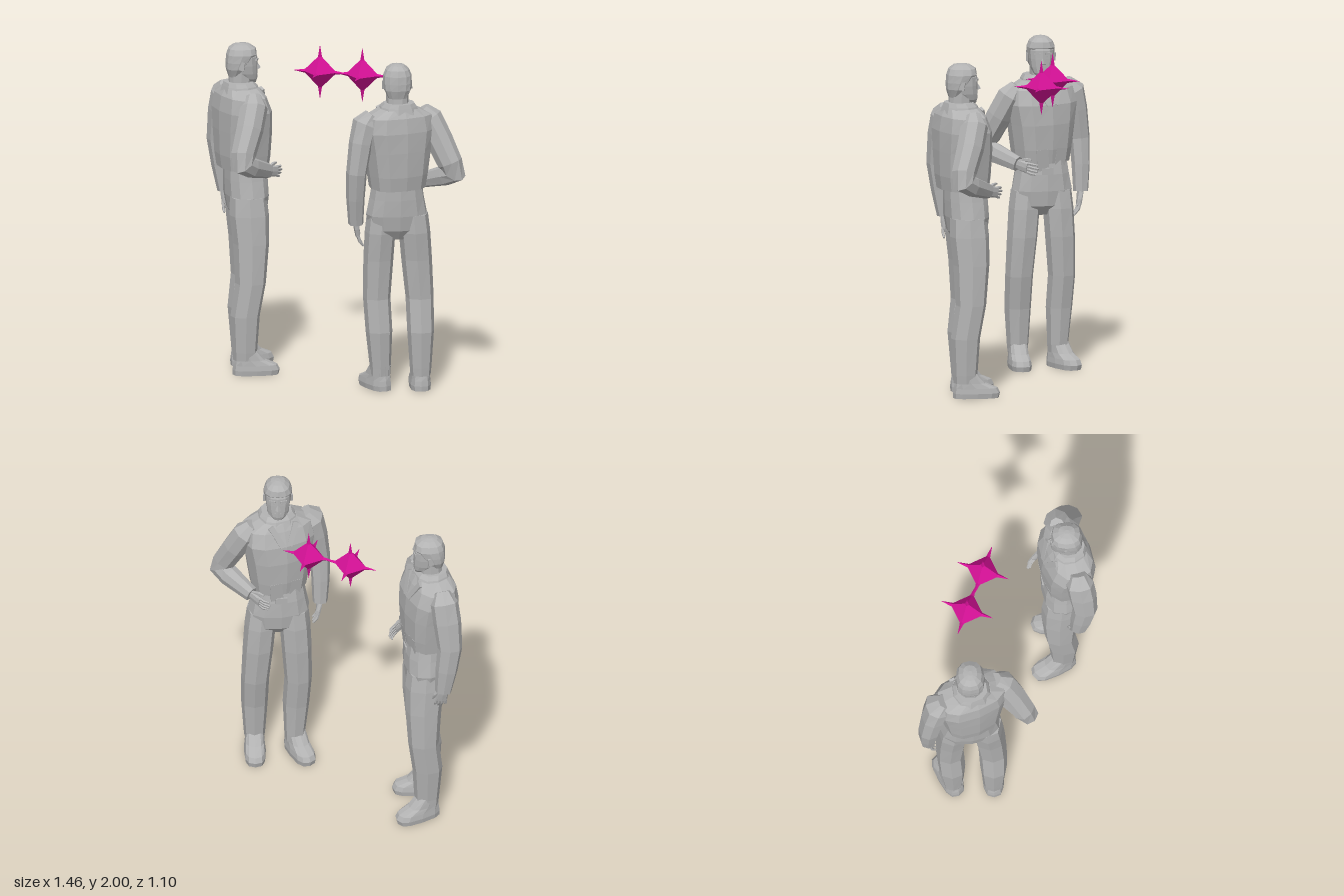
import * as THREE from 'three';

const grey = new THREE.MeshStandardMaterial({ color: 0xb2b2b2 });
grey.name = 'statue grey';
const pink = new THREE.MeshStandardMaterial({ color: 0xd41196 });
pink.name = 'marker magenta';

const V = (x, y, z) => new THREE.Vector3(x, y, z);

function add(parent, name, geometry, material = grey) {
  const flat = geometry.index ? geometry.toNonIndexed() : geometry;
  flat.computeVertexNormals();
  const mesh = new THREE.Mesh(flat, material);
  mesh.name = name;
  parent.add(mesh);
  return mesh;
}

// Skin a stack of equal-sized rings and close both ends
function skin(rings) {
  const out = [], n = rings[0].length;
  const tri = (...ps) => ps.forEach((p) => out.push(p.x, p.y, p.z));
  const mid = (r) => r.reduce((s, p) => s.add(p), V(0, 0, 0)).divideScalar(n);
  const last = rings[rings.length - 1], c0 = mid(rings[0]), c1 = mid(last);
  for (let j = 0; j < n; j++) {
    const k = (j + 1) % n;
    for (let i = 0; i < rings.length - 1; i++) {
      const a = rings[i], b = rings[i + 1];
      tri(a[j], b[j], a[k]);
      tri(a[k], b[j], b[k]);
    }
    tri(c0, rings[0][j], rings[0][k]);
    tri(c1, last[k], last[j]);
  }
  const g = new THREE.BufferGeometry();
  g.setAttribute('position', new THREE.Float32BufferAttribute(out, 3));
  return g;
}

// One rounded-square ring spanned by u and v
function ring(c, u, v, sides, e = 0.8) {
  return Array.from({ length: sides }, (_, j) => {
    const a = (j / sides) * Math.PI * 2;
    const f = (t) => Math.sign(t) * Math.pow(Math.abs(t) < 1e-6 ? 0 : Math.abs(t), e);
    return c.clone().addScaledVector(u, f(Math.cos(a))).addScaledVector(v, f(Math.sin(a)));
  });
}

// Horizontal sections, bottom to top: [y, cx, cz, rx, rz]
const stack = (rows, sides = 10, e = 0.8) =>
  skin(rows.map(([y, cx, cz, rx, rz]) => ring(V(cx, y, cz), V(rx, 0, 0), V(0, 0, rz), sides, e)));

// Sections along a bent path: [point, ru, rv]; ref sets the direction of ru
function limb(rows, ref, sides = 8) {
  return skin(rows.map(([p, ru, rv], i) => {
    const d = V(0, 0, 0);
    if (i > 0) d.add(p.clone().sub(rows[i - 1][0]).normalize());
    if (i < rows.length - 1) d.add(rows[i + 1][0].clone().sub(p).normalize());
    d.normalize();
    const u = ref.clone().addScaledVector(d, -ref.dot(d)).normalize();
    const v = u.clone().cross(d);
    return ring(p, u.multiplyScalar(ru), v.multiplyScalar(rv), sides);
  }));
}

// Palm, four fingers and a thumb; s points to the thumb side
function hand(parent, name, wrist, dir, s, curl) {
  const g = new THREE.Group();
  g.name = name;
  const at = (l, w, c = 0) => wrist.clone().addScaledVector(dir, l).addScaledVector(s, w).addScaledVector(curl, c);
  add(g, 'palm', limb([[at(-0.03, 0), 0.026, 0.02], [at(0.03, 0), 0.034, 0.018], [at(0.08, 0), 0.034, 0.014]], s, 8));
  for (let i = 0; i < 4; i++) {
    const w = (i - 1.5) * 0.017, l = 0.15 - Math.abs(i - 1.7) * 0.011;
    add(g, 'finger', limb([[at(0.07, w), 0.009, 0.01], [at(0.11, w * 1.15, 0.006), 0.009, 0.009],
      [at(l, w * 1.2, 0.024), 0.005, 0.005]], s, 5));
  }
  add(g, 'thumb', limb([[at(0.01, 0.02), 0.012, 0.012], [at(0.05, 0.042, 0.01), 0.011, 0.011],
    [at(0.085, 0.05, 0.018), 0.006, 0.006]], curl, 5));
  parent.add(g);
}

function box(parent, name, size, pos, rot = [0, 0, 0]) {
  const m = add(parent, name, new THREE.BoxGeometry(...size));
  m.position.set(...pos);
  m.rotation.set(...rot);
  return m;
}

function createHead() {
  const head = new THREE.Group();
  head.name = 'head';
  add(head, 'neck', stack([[1.66, 0, -0.02, 0.075, 0.08], [1.75, 0, -0.015, 0.066, 0.07], [1.84, 0, -0.01, 0.066, 0.07]]));
  add(head, 'face', stack([
    [1.762, 0, 0.05, 0.03, 0.032], [1.785, 0, 0.033, 0.053, 0.056], [1.82, 0, 0.012, 0.068, 0.078],
    [1.87, 0, 0.002, 0.076, 0.088], [1.92, 0, 0, 0.077, 0.088], [1.965, 0, -0.005, 0.062, 0.074]], 12));
  add(head, 'hair', stack([
    [1.8, 0, -0.05, 0.055, 0.035], [1.85, 0, -0.038, 0.08, 0.062], [1.89, 0, -0.024, 0.085, 0.077],
    [1.935, 0, -0.006, 0.085, 0.092], [1.97, 0, -0.003, 0.07, 0.083], [1.993, 0, -0.005, 0.042, 0.05],
    [2.0, 0, -0.008, 0.012, 0.015]], 12));
  const nose = add(head, 'nose', new THREE.ConeGeometry(0.017, 0.055, 4));
  nose.position.set(0, 1.868, 0.087);
  nose.rotation.x = -0.25;
  box(head, 'mouth', [0.042, 0.007, 0.02], [0, 1.812, 0.078]);
  for (const s of [1, -1]) {
    box(head, 'brow', [0.04, 0.011, 0.02], [s * 0.032, 1.903, 0.078], [0, s * 0.3, 0]);
    box(head, 'eye', [0.026, 0.008, 0.01], [s * 0.032, 1.885, 0.077], [0, s * 0.3, 0]);
    box(head, 'ear', [0.014, 0.05, 0.03], [s * 0.079, 1.873, -0.01], [0.15, s * 0.3, 0]);
  }
  return head;
}

function createMan() {
  const man = new THREE.Group();
  man.name = 'man';
  man.add(createHead());

  // Short jacket, turned towards the man's left
  const torso = new THREE.Group();
  torso.name = 'torso';
  torso.rotation.y = 0.36;
  add(torso, 'jacket', stack([
    [1.245, 0, 0, 0.165, 0.138], [1.33, 0, 0, 0.178, 0.15], [1.48, 0, 0, 0.2, 0.155],
    [1.6, 0, -0.005, 0.222, 0.15], [1.69, 0, -0.015, 0.205, 0.125], [1.735, 0, -0.015, 0.115, 0.1]], 12, 0.75));
  add(torso, 'collar', stack([[1.69, 0, -0.015, 0.13, 0.12], [1.745, 0, -0.018, 0.11, 0.1], [1.768, 0, -0.025, 0.092, 0.085]]));
  for (const s of [1, -1]) {
    box(torso, 'lapel', [0.035, 0.15, 0.016], [s * 0.05, 1.665, 0.112], [-0.36, 0, -s * 0.42]);
    box(torso, 'jacketFlap', [0.075, 0.13, 0.012], [s * 0.06, 1.27, 0.13], [0.1, s * 0.12, -s * 0.1]);
  }
  man.add(torso);

  // Trousers
  const pelvis = add(man, 'hips', stack([
    [0.93, 0, 0.02, 0.1, 0.07], [0.99, 0, 0.025, 0.165, 0.115], [1.08, 0, 0.022, 0.185, 0.128],
    [1.18, 0, 0.018, 0.165, 0.128], [1.28, 0, 0.01, 0.15, 0.12]], 12));
  pelvis.rotation.y = 0.14;
  box(pelvis, 'buckle', [0.07, 0.04, 0.012], [0, 1.2, 0.14]);
  add(man, 'leftLeg', stack([
    [0.09, 0.1, 0.015, 0.06, 0.07], [0.14, 0.1, 0.015, 0.063, 0.074], [0.36, 0.108, 0.012, 0.08, 0.09],
    [0.56, 0.12, 0.035, 0.082, 0.092], [0.8, 0.11, 0.035, 0.09, 0.108], [0.97, 0.1, 0.025, 0.092, 0.118],
    [1.08, 0.09, 0.02, 0.09, 0.11]], 8));
  add(man, 'rightLeg', stack([
    [0.09, -0.14, 0, 0.06, 0.07], [0.14, -0.14, 0, 0.065, 0.074], [0.36, -0.14, 0.002, 0.08, 0.088],
    [0.56, -0.136, 0.035, 0.084, 0.092], [0.8, -0.118, 0.04, 0.092, 0.108], [0.97, -0.105, 0.03, 0.094, 0.118],
    [1.08, -0.095, 0.025, 0.09, 0.11]], 8));

  // Shoes, the left one splayed out
  for (const [name, x, z, turn] of [['leftShoe', 0.1, 0.01, 0.45], ['rightShoe', -0.14, 0, 0.02]]) {
    const shoe = add(man, name, stack([
      [0, 0, 0.065, 0.062, 0.138], [0.03, 0, 0.068, 0.066, 0.142], [0.06, 0, 0.062, 0.062, 0.132],
      [0.09, 0, 0.03, 0.058, 0.092], [0.15, 0, 0, 0.055, 0.066]], 12, 0.7));
    shoe.position.set(x, 0, z);
    shoe.rotation.y = turn;
  }

  // Left arm hangs at the side
  add(man, 'leftArm', limb([
    [V(0.16, 1.71, -0.075), 0.045, 0.04], [V(0.2, 1.655, -0.085), 0.083, 0.075], [V(0.225, 1.54, -0.1), 0.084, 0.07],
    [V(0.25, 1.36, -0.115), 0.074, 0.062], [V(0.255, 1.2, -0.095), 0.066, 0.055], [V(0.252, 1.04, -0.075), 0.05, 0.045]], V(0, 0, 1)));
  hand(man, 'leftHand', V(0.25, 1.04, -0.075), V(-0.13, -0.98, 0.12).normalize(), V(0.1, 0.12, 1).normalize(), V(-1, 0, 0.1));

  // Right arm is bent, with the hand before the belly
  add(man, 'rightArm', limb([
    [V(-0.15, 1.71, 0.05), 0.045, 0.04], [V(-0.19, 1.65, 0.05), 0.08, 0.075], [V(-0.25, 1.53, 0.02), 0.078, 0.075],
    [V(-0.315, 1.39, -0.025), 0.07, 0.07], [V(-0.335, 1.33, -0.025), 0.062, 0.075], [V(-0.29, 1.305, 0.02), 0.06, 0.062],
    [V(-0.16, 1.25, 0.135), 0.04, 0.046]], V(-0.68, 0, 0.75)));
  hand(man, 'rightHand', V(-0.16, 1.25, 0.135), V(0.64, -0.2, 0.74).normalize(), V(0.13, 0.97, 0.15).normalize(), V(0.7, 0, -0.6));
  return man;
}

// Octahedron with a needle on each corner
function createMarker() {
  const marker = new THREE.Group();
  marker.name = 'spikedMarker';
  add(marker, 'markerCore', new THREE.OctahedronGeometry(0.104), pink);
  const up = V(0, 1, 0);
  for (const s of [1, -1]) {
    for (const d of [V(s, 0, 0), V(0, s, 0), V(0, 0, s)]) {
      const spike = add(marker, 'spike', new THREE.ConeGeometry(0.015, 0.09, 4), pink);
      spike.position.copy(d).multiplyScalar(0.122);
      spike.quaternion.setFromUnitVectors(up, d);
    }
  }
  return marker;
}

export function createModel() {
  const model = new THREE.Group();
  model.name = 'conversation';
  for (const [x, z, turn] of [[-0.53, -0.24, Math.PI / 2], [0.335, 0.365, Math.PI - 0.04]]) {
    const man = createMan();
    man.position.set(x, 0, z);
    man.rotation.y = turn;
    model.add(man);
  }
  for (const [x, z] of [[-0.065, -0.24], [0.178, -0.135]]) {
    const marker = createMarker();
    marker.position.set(x, 1.81, z);
    marker.rotation.y = -0.38;
    model.add(marker);
  }
  return model;
}
